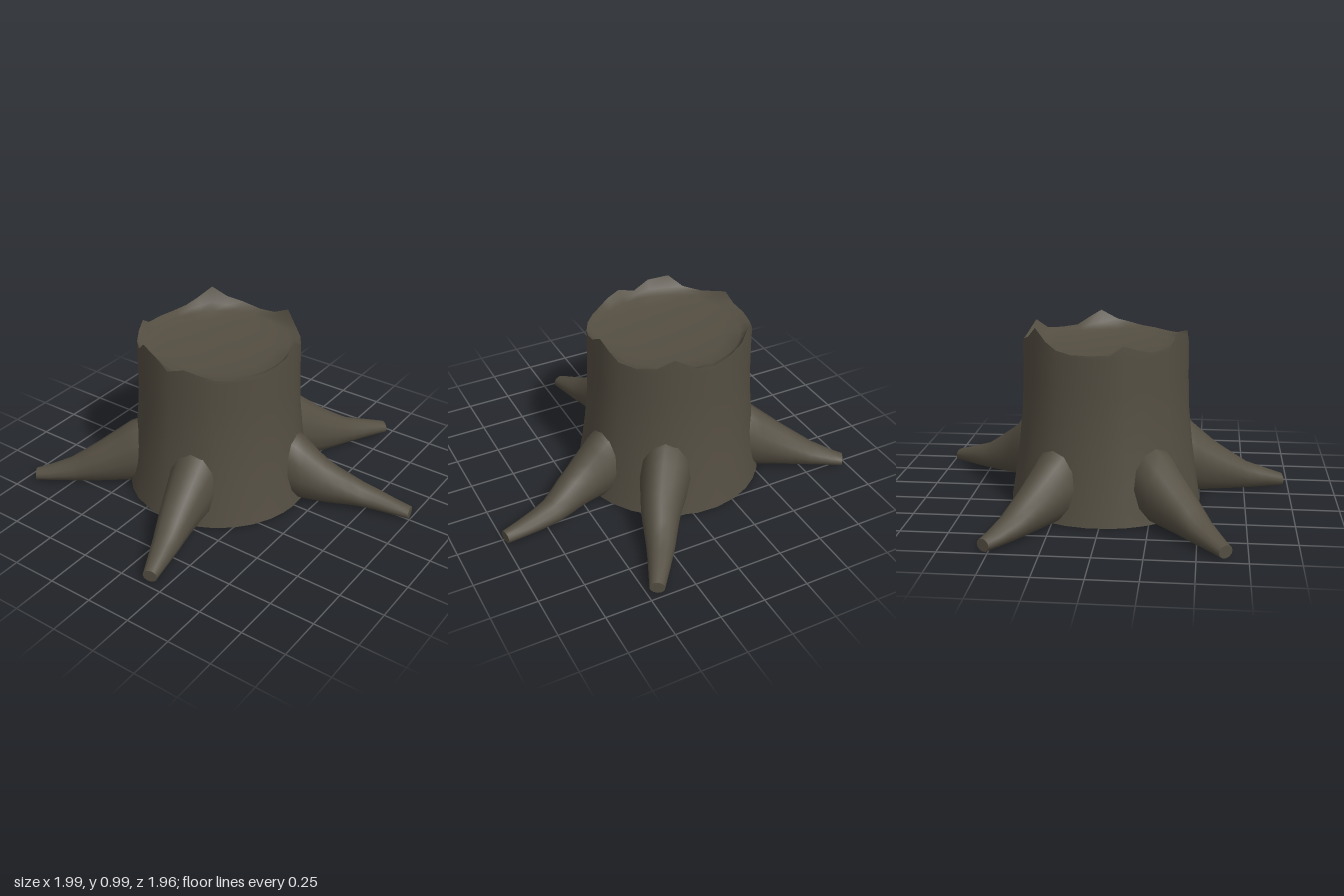
import * as THREE from 'three';

// Skin a grid of point rings (each ring closed) with smooth normals
function skin(rings, flip = false) {
  const n = rings[0].length, pos = [], idx = [];
  rings.forEach(ring => ring.forEach(p => pos.push(p.x, p.y, p.z)));
  for (let i = 0; i < rings.length - 1; i++) {
    for (let j = 0; j < n; j++) {
      const k = (j + 1) % n;
      const a = i * n + j, b = i * n + k, c = a + n, d = b + n;
      if (flip) idx.push(a, b, c, b, d, c);
      else idx.push(a, c, b, b, c, d);
    }
  }
  const g = new THREE.BufferGeometry();
  g.setAttribute('position', new THREE.Float32BufferAttribute(pos, 3));
  g.setIndex(idx);
  g.computeVertexNormals();
  return g;
}

// Trunk centre and broken rim: [angle in degrees from +x towards +z, height]
const CX = -0.108, CZ = -0.014;
const RIM = [
  [3, 0.915], [12, 0.9], [22, 0.885], [34, 0.88], [46, 0.875], [58, 0.88], [67, 0.9],
  [78, 0.92], [91, 0.885], [102, 0.94], [117, 0.96], [128, 0.895], [142, 0.885],
  [153, 0.905], [163, 0.93], [172, 0.885], [185, 0.88], [198, 0.88], [209, 0.895],
  [218, 0.93], [229, 0.99], [240, 0.93], [252, 0.905], [266, 0.88], [279, 0.89],
  [294, 0.95], [307, 0.89], [320, 0.88], [333, 0.885], [342, 0.925], [351, 0.965],
];

// Ring round the trunk axis; y may depend on the rim height
const trunkRing = (r, yOf) => RIM.map(([deg, h]) => {
  const a = THREE.MathUtils.degToRad(deg);
  return new THREE.Vector3(CX + r * Math.cos(a), yOf(h), CZ + r * Math.sin(a));
});

// Roots: plan path [x, z] from the trunk to the tip, and height at the trunk
const ROOTS = [
  { name: 'frontRoot', top: 0.43, path: [[0.0, 0.3], [0.02, 0.42], [0.05, 0.58], [0.1, 0.76], [0.16, 0.965]] },
  { name: 'leftRoot', top: 0.38, path: [[0.25, -0.09], [0.37, -0.11], [0.52, -0.15], [0.71, -0.225], [0.99, -0.272]] },
  { name: 'backLeftRoot', top: 0.43, path: [[0.05, -0.31], [0.13, -0.43], [0.23, -0.58], [0.32, -0.75], [0.45, -0.965]] },
  { name: 'backRightRoot', top: 0.37, path: [[-0.4, -0.19], [-0.52, -0.25], [-0.67, -0.335], [-0.82, -0.425], [-0.975, -0.525]] },
  { name: 'frontRightRoot', top: 0.37, path: [[-0.39, 0.22], [-0.5, 0.3], [-0.64, 0.415], [-0.78, 0.52], [-0.945, 0.64]] },
];
const HEIGHT = [1.15, 1, 0.66, 0.36, 0.16];      // share of the root's top height
const HALF_WIDTH = [0.14, 0.135, 0.105, 0.075, 0.04];

// Linear sample of an evenly spaced list
function sample(list, t) {
  const f = t * (list.length - 1), i = Math.min(Math.floor(f), list.length - 2);
  return THREE.MathUtils.lerp(list[i], list[i + 1], f - i);
}

function makeRoot({ name, top, path }, material) {
  const root = new THREE.Group();
  root.name = name;
  const curve = new THREE.CatmullRomCurve3(path.map(([x, z]) => new THREE.Vector3(x, 0, z)));
  const up = new THREE.Vector3(0, 1, 0), STEPS = 12, SIDES = 12, rings = [];
  for (let i = 0; i <= STEPS; i++) {
    const t = i / STEPS;
    const c = curve.getPoint(t);
    const side = curve.getTangent(t).cross(up).normalize();
    const hv = Math.max(sample(HEIGHT, t) * top, 0.066) / 2, hw = sample(HALF_WIDTH, t);
    const ring = [];
    for (let j = 0; j < SIDES; j++) {
      const a = j / SIDES * Math.PI * 2;
      ring.push(c.clone().addScaledVector(side, hw * Math.cos(a)).setY(hv + hv * Math.sin(a)));
    }
    rings.push(ring);
  }
  const body = new THREE.Mesh(skin(rings), material);
  body.name = 'rootBody';
  // Flat cut end
  const last = rings[STEPS];
  const centre = last.reduce((s, p) => s.add(p), new THREE.Vector3()).divideScalar(SIDES);
  const tip = new THREE.Mesh(skin([last, last.map(() => centre)]), material);
  tip.name = 'rootTip';
  root.add(body, tip);
  return root;
}

export function createModel() {
  const model = new THREE.Group();
  model.name = 'treeStump';
  const bark = new THREE.MeshStandardMaterial({ color: 0x544e42 });
  bark.name = 'darkBark';
  const add = (name, geometry) => {
    const mesh = new THREE.Mesh(geometry, bark);
    mesh.name = name;
    model.add(mesh);
  };

  // Flared trunk wall up to the jagged rim
  const profile = [[0.52, 0], [0.497, 0.14], [0.472, 0.32], [0.452, 0.52], [0.446, 0.7], [0.445, 0.86]];
  const wall = profile.map(([r, y]) => trunkRing(r, () => y));
  wall.push(trunkRing(0.443, h => h));
  add('trunk', skin(wall));

  // Inside of the broken rim running down into a shallow dish
  add('hollowTop', skin([
    trunkRing(0.443, h => h),
    trunkRing(0.415, h => 0.868 + (h - 0.868) * 0.3),
    trunkRing(0.385, () => 0.862),
    trunkRing(0.3, () => 0.85),
    trunkRing(0.15, () => 0.842),
    trunkRing(0, () => 0.84),
  ]));

  // Flat underside
  add('underside', skin([trunkRing(0, () => 0), trunkRing(0.52, () => 0)]));

  ROOTS.forEach(r => model.add(makeRoot(r, bark)));
  return model;
}
